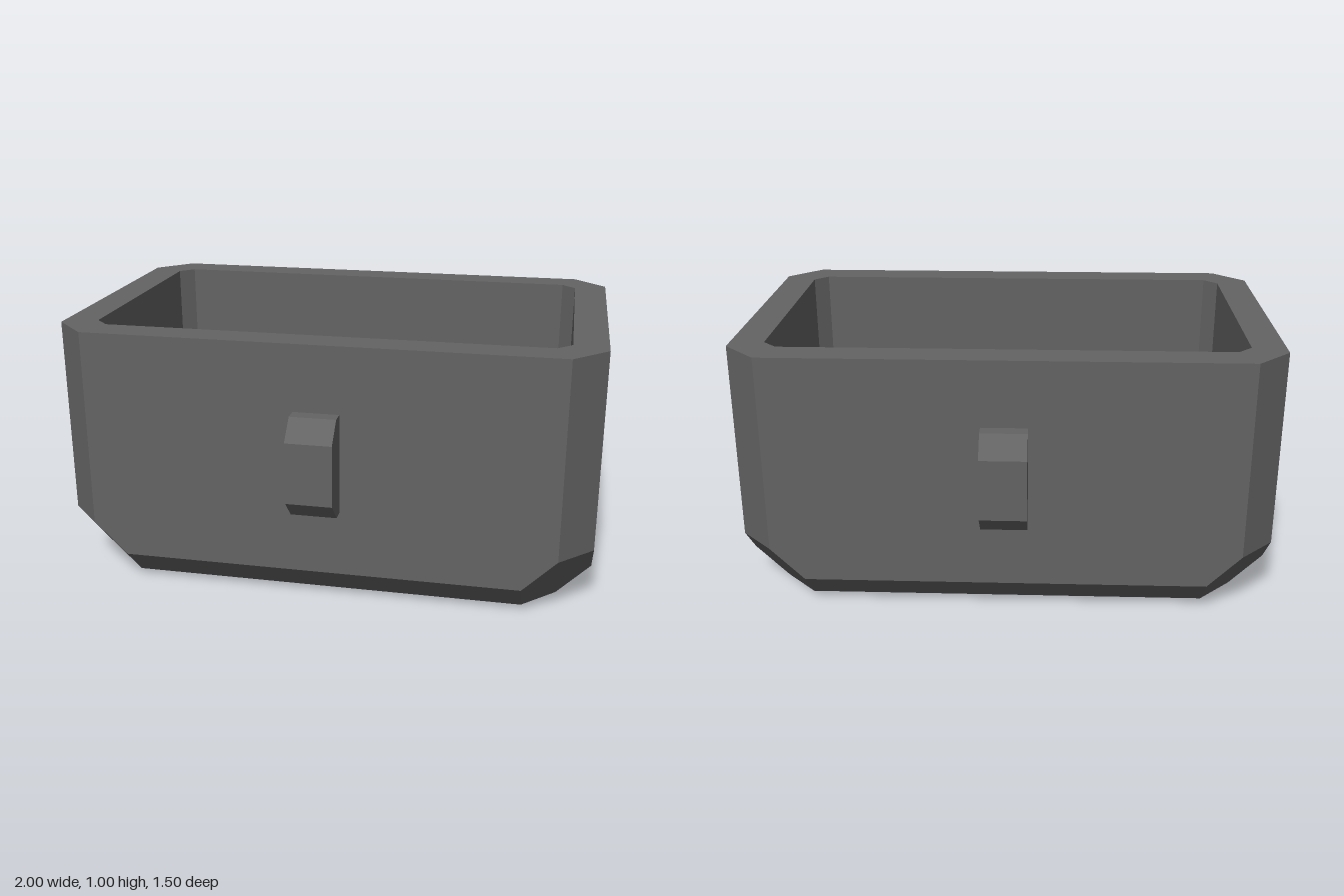
import * as THREE from 'three';

const material = new THREE.MeshStandardMaterial({ color: 0x636363, flatShading: true });

// Rectangle with cut corners at height y: half width w, half depth d, corner cut c
function ring(w, d, c, y) {
  return [
    [w, -d + c], [w, d - c], [w - c, d], [-w + c, d],
    [-w, d - c], [-w, -d + c], [-w + c, -d], [w - c, -d],
  ].map(([x, z]) => new THREE.Vector3(x, y, z));
}

// Joins consecutive rings with flat faces, skipping collapsed triangles
function loft(rings) {
  const points = [];
  const face = (a, b, c) => {
    if (!a.equals(b) && !b.equals(c) && !c.equals(a)) points.push(a, b, c);
  };
  for (let r = 0; r < rings.length - 1; r++) {
    const a = rings[r], b = rings[r + 1];
    for (let i = 0; i < a.length; i++) {
      const j = (i + 1) % a.length;
      face(a[i], a[j], b[j]);
      face(a[i], b[j], b[i]);
    }
  }
  const geometry = new THREE.BufferGeometry().setFromPoints(points);
  geometry.computeVertexNormals();
  return geometry;
}

export function createModel() {
  const model = new THREE.Group();
  model.name = 'trough';

  // Basin: from the middle of the floor, up the inside, over the rim, down to the underside
  const basin = new THREE.Mesh(loft([
    ring(0, 0, 0, 0.125),
    ring(0.75, 0.375, 0.052, 0.125),
    ring(0.875, 0.5, 0.052, 0.25),
    ring(0.875, 0.5, 0.052, 1),
    ring(1, 0.625, 0.125, 1),
    ring(1, 0.625, 0.125, 0.25),
    ring(1, 0.625, 0.25, 0.125),
    ring(0.875, 0.5, 0.125, 0),
    ring(0, 0, 0, 0),
  ]), material);
  basin.name = 'basin';
  model.add(basin);

  // Lug profile, x outwards and y up, extruded across the width
  const profile = new THREE.Shape([
    [0.6, 0.375], [0.677, 0.375], [0.75, 0.448],
    [0.75, 0.677], [0.677, 0.75], [0.6, 0.75],
  ].map(([x, y]) => new THREE.Vector2(x, y)));
  const lugGeometry = new THREE.ExtrudeGeometry(profile, { depth: 0.17, bevelEnabled: false });
  lugGeometry.translate(0, 0, -0.085);

  // One lug on the front and one on the back
  for (const [name, side] of [['frontLug', -1], ['backLug', 1]]) {
    const lug = new THREE.Mesh(lugGeometry, material);
    lug.name = name;
    lug.rotation.y = side * Math.PI / 2;
    model.add(lug);
  }

  return model;
}
